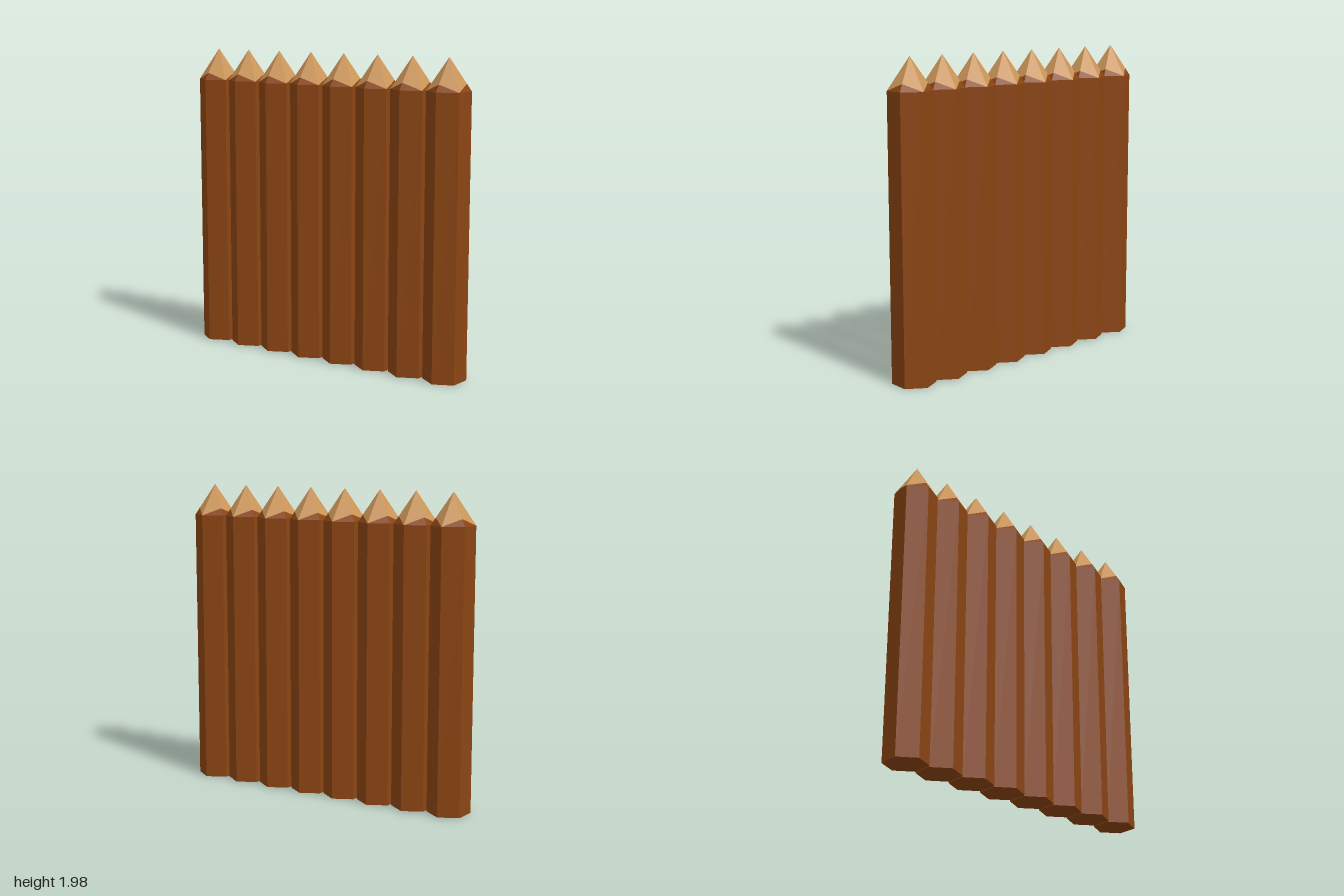
import * as THREE from 'three';

const COUNT = 8, SPACING = 0.2505;
const RADIUS = 0.136, TWIST = THREE.MathUtils.degToRad(-4.8);
const SHOULDER = 1.778, NOTCH = 1.823, TIP = 1.98;

// Point on the six-sided post outline; corner 0 faces the front
function corner(i, y, radius = RADIUS) {
  const a = TWIST + i * Math.PI / 3;
  return new THREE.Vector3(radius * Math.sin(a), y, radius * Math.cos(a));
}

function facets(points) {
  const geometry = new THREE.BufferGeometry().setFromPoints(points);
  geometry.computeVertexNormals();
  return geometry;
}

export function createModel() {
  const bark = [], wood = [];
  const base = new THREE.Vector3(0, 0, 0), apex = new THREE.Vector3(0, TIP, 0);
  const notchRadius = RADIUS * (TIP - NOTCH) / (TIP - SHOULDER);

  for (let i = 0; i < 6; i++) {
    const a = corner(i, 0), b = corner(i + 1, 0);
    const c = corner(i + 1, SHOULDER), d = corner(i, SHOULDER);
    // Side face and underside
    bark.push(a, b, c, a, c, d, base, b, a);
    // Bark climbs the point at every second corner, bare wood fills the rest
    const notch = corner(i % 2 ? i + 1 : i, NOTCH, notchRadius);
    bark.push(d, c, notch);
    if (i % 2) wood.push(d, notch, apex);
    else wood.push(notch, c, apex);
  }

  const barkGeometry = facets(bark), woodGeometry = facets(wood);
  const barkMaterial = new THREE.MeshStandardMaterial({ color: 0x8b4513, flatShading: true });
  const woodMaterial = new THREE.MeshStandardMaterial({ color: 0xcc9659, flatShading: true });

  // Row of identical sharpened posts
  const palisade = new THREE.Group();
  palisade.name = 'palisade';
  for (let i = 0; i < COUNT; i++) {
    const post = new THREE.Group();
    post.name = `post${i + 1}`;
    const trunk = new THREE.Mesh(barkGeometry, barkMaterial);
    trunk.name = 'trunk';
    const point = new THREE.Mesh(woodGeometry, woodMaterial);
    point.name = 'sharpenedPoint';
    post.add(trunk, point);
    post.position.x = (i - (COUNT - 1) / 2) * SPACING;
    palisade.add(post);
  }
  return palisade;
}
